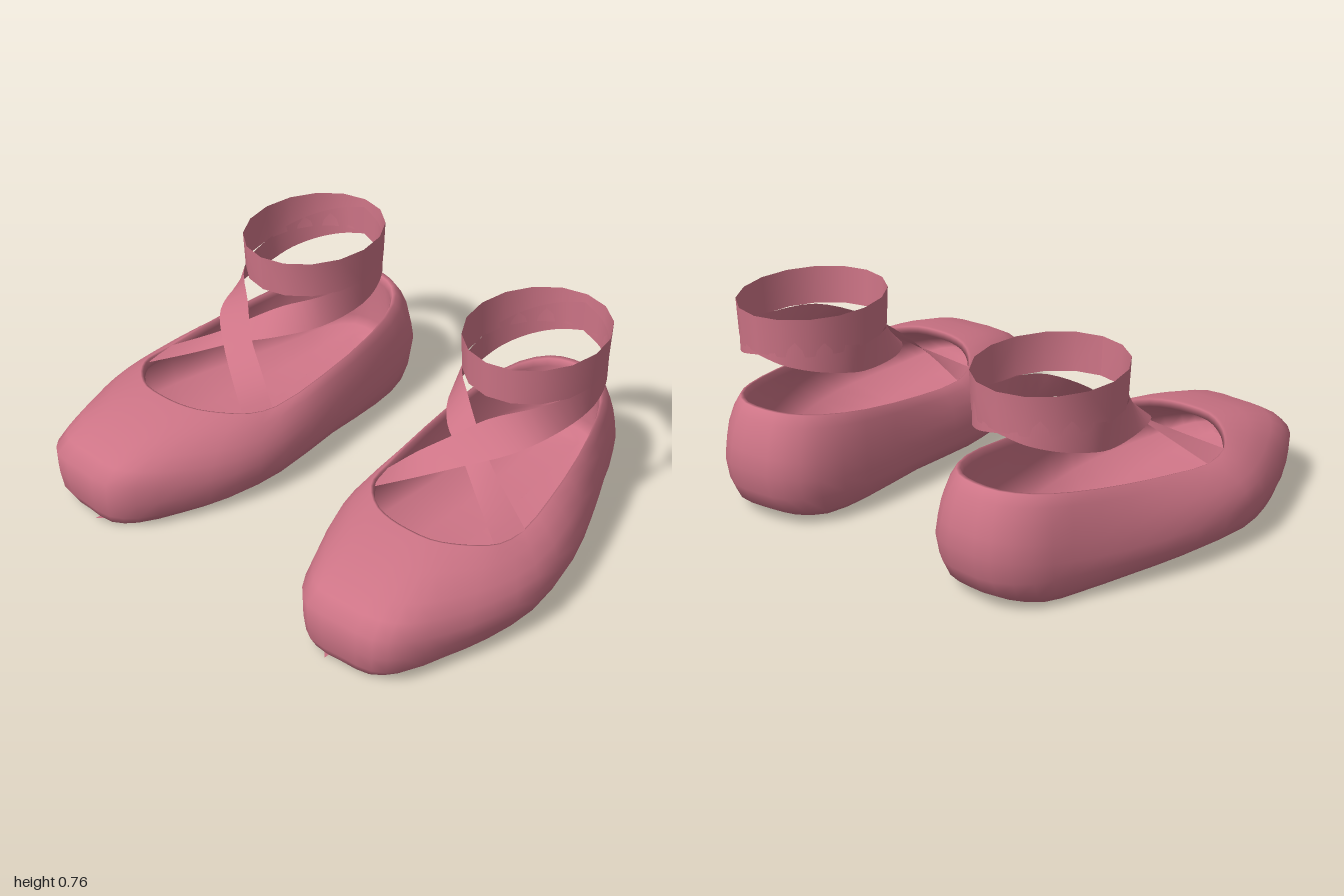
import * as THREE from 'three';

const CX = 0.57; // shoe centre line
const AX = 0.535, AZ = -0.385; // ankle centre

// Piecewise linear lookup in [position, value] pairs
function lookup(table, z) {
  if (z <= table[0][0]) return table[0][1];
  for (let i = 1; i < table.length; i++) {
    const [z0, v0] = table[i - 1], [z1, v1] = table[i];
    if (z <= z1) return v0 + (v1 - v0) * (z - z0) / (z1 - z0);
  }
  return table[table.length - 1][1];
}
const bottomY = z => lookup([[-0.68, 0.016], [-0.6, 0.005], [-0.45, 0.006], [-0.2, 0.028], [0.05, 0.03],
  [0.25, 0.016], [0.42, 0.008], [0.7, 0.011], [0.78, 0.018]], z);
const rimY = z => lookup([[-0.72, 0.43], [-0.5, 0.395], [-0.2, 0.35], [0.1, 0.308], [0.2, 0.315],
  [0.3, 0.335], [0.4, 0.352]], z);
const wideY = z => lookup([[-0.79, 0.21], [-0.5, 0.16], [0.5, 0.16], [0.79, 0.21]], z);
const insoleY = z => 0.05 + 0.18 * z * z;

// Widest outline and opening as [x, z], from the toe round the outer side to the heel and back
const WIDE = [[0.64, 0.787], [0.77, 0.772], [0.85, 0.7], [0.91, 0.55], [0.965, 0.38], [1, 0.17], [0.955, -0.1],
  [0.86, -0.35], [0.765, -0.56], [0.7, -0.7], [0.59, -0.785], [0.47, -0.79], [0.36, -0.765], [0.27, -0.66],
  [0.23, -0.45], [0.208, -0.15], [0.192, 0.17], [0.235, 0.38], [0.32, 0.57], [0.41, 0.72], [0.495, 0.787]];
const RIM = [[0.6, 0.4], [0.69, 0.39], [0.76, 0.35], [0.82, 0.29], [0.86, 0.22], [0.87, 0.1], [0.85, -0.08],
  [0.8, -0.32], [0.73, -0.53], [0.66, -0.65], [0.57, -0.715], [0.47, -0.72], [0.385, -0.69], [0.31, -0.6],
  [0.26, -0.42], [0.25, -0.12], [0.27, 0.12], [0.3, 0.23], [0.36, 0.31], [0.44, 0.37], [0.52, 0.395]];

// Joins rows of points into a smooth surface
function loft(rows, closed) {
  const n = rows[0].length, pos = [], index = [];
  rows.forEach(row => row.forEach(p => pos.push(p.x, p.y, p.z)));
  for (let r = 0; r < rows.length - 1; r++) {
    for (let i = 0; i < (closed ? n : n - 1); i++) {
      const j = (i + 1) % n, a = r * n + i, b = r * n + j;
      index.push(a, b, a + n, b, b + n, a + n);
    }
  }
  const g = new THREE.BufferGeometry();
  g.setAttribute('position', new THREE.Float32BufferAttribute(pos, 3));
  g.setIndex(index);
  g.computeVertexNormals();
  return g;
}

function slipper() {
  const V = (x, y, z) => new THREE.Vector3(x, y, z);
  const scaled = (sx, heel, toe, y) => WIDE.map(([x, z]) => {
    const zz = z * (z > 0 ? toe : heel);
    return V(CX + (x - CX) * sx, y(zz, z), zz);
  });
  // From the widest outline (t = 0) up to the opening (t = 1)
  const upper = (t, h) => WIDE.map(([x, z], i) => {
    const [rx, rz] = RIM[i], y = wideY(z);
    return V(x + (rx - x) * t, y + (rimY(rz) - y) * h, z + (rz - z) * t);
  });
  const lip = (inset, drop) => RIM.map(([x, z]) =>
    V(CX + (x - CX) * (1 - inset), rimY(z) - drop, z * (1 - inset)));
  const rings = [
    scaled(0, 0.84, 0.95, bottomY),
    scaled(0.5, 0.84, 0.95, bottomY),
    scaled(0.82, 0.86, 0.965, bottomY),
    scaled(0.945, 0.94, 0.99, z => bottomY(z) + 0.04),
    scaled(0.985, 0.98, 1, (z, w) => 0.05 + wideY(w) * 0.35),
    upper(0, 0), upper(0.13, 0.3), upper(0.3, 0.56), upper(0.64, 0.83), upper(1, 1),
    // lining and insole
    lip(0.025, 0.003), lip(0.04, 0.03),
    scaled(0.9, 0.9, 0.85, () => 0.19),
    scaled(0.82, 0.86, 0.85, z => insoleY(z) + 0.03),
    scaled(0.4, 0.84, 0.84, insoleY),
    scaled(0, 0.82, 0.84, insoleY),
  ];
  const count = WIDE.length * 2;
  const rows = rings.map(pts => {
    const curve = new THREE.CatmullRomCurve3(pts, true);
    return Array.from({ length: count }, (_, i) => curve.getPoint(i / count));
  });
  return loft(rows, true);
}

// Thin sole patch hugging the underside: rows of [z, left x, right x]
function solePatch() {
  const rows = [[0.63, 0.54, 0.68], [0.58, 0.48, 0.75], [0.45, 0.41, 0.79], [0.2, 0.37, 0.81], [0, 0.4, 0.74],
    [-0.16, 0.44, 0.66], [-0.29, 0.45, 0.63], [-0.41, 0.42, 0.65], [-0.52, 0.43, 0.64], [-0.58, 0.49, 0.58]];
  const edge = k => new THREE.CatmullRomCurve3(rows.map(r => new THREE.Vector3(r[k], 0, r[0]))).getPoints(36);
  const sides = [edge(1), edge(2)];
  sides.flat().forEach(p => { p.y = bottomY(p.z) - 0.005; });
  return loft(sides, false);
}

// Ribbon given by its lower and upper edge over the instep, then wound round to the back of the ankle
function strand(s, lower, upper) {
  const edge = (points, y, rise) => {
    const path = points.map(p => new THREE.Vector3(...p));
    for (let i = 0; i <= 4; i++) {
      const a = i / 4 * Math.PI / 2;
      path.push(new THREE.Vector3(AX + s * 0.243 * Math.cos(a), y + rise * i / 4, AZ - 0.288 * Math.sin(a)));
    }
    return new THREE.CatmullRomCurve3(path).getPoints(36);
  };
  return loft([edge(lower, 0.515, 0.095), edge(upper, 0.62, 0.11)], false);
}
const outerRibbon = () => strand(-1,
  [[0.855, 0.305, 0.235], [0.7, 0.37, 0.14], [0.556, 0.435, 0.05], [0.42, 0.48, -0.03], [0.318, 0.5, -0.18]],
  [[0.872, 0.305, 0.09], [0.66, 0.43, 0.015], [0.56, 0.5, -0.035], [0.45, 0.57, -0.107], [0.345, 0.61, -0.2]]);
const innerRibbon = () => strand(1,
  [[0.312, 0.305, 0.255], [0.45, 0.37, 0.17], [0.583, 0.433, 0.08], [0.705, 0.483, -0.03], [0.763, 0.503, -0.19]],
  [[0.284, 0.305, 0.13], [0.38, 0.4, 0.085], [0.476, 0.48, 0.035], [0.58, 0.56, -0.055], [0.715, 0.61, -0.18]]);

function ankleBand() {
  const g = new THREE.CylinderGeometry(0.252, 0.246, 0.143, 16, 1, true);
  g.scale(1, 1, 1.18);
  g.translate(AX, 0.688, AZ);
  return g;
}

function mirrored(geometry) {
  const g = geometry.clone().scale(-1, 1, 1);
  const a = g.index.array;
  for (let i = 0; i < a.length; i += 3) [a[i], a[i + 1]] = [a[i + 1], a[i]];
  g.computeVertexNormals();
  return g;
}

export function createModel() {
  const satin = new THREE.MeshStandardMaterial({ color: 0xcd7486, side: THREE.DoubleSide });
  satin.name = 'pink satin';
  const leather = new THREE.MeshStandardMaterial({ color: 0x765841, side: THREE.DoubleSide });
  leather.name = 'brown leather';

  const parts = [
    ['slipper', slipper(), satin],
    ['solePatch', solePatch(), leather],
    ['outerRibbon', outerRibbon(), satin],
    ['innerRibbon', innerRibbon(), satin],
    ['ankleBand', ankleBand(), satin],
  ];
  const model = new THREE.Group();
  model.name = 'balletShoes';
  for (const side of ['left', 'right']) {
    const shoe = new THREE.Group();
    shoe.name = side + 'Shoe';
    for (const [name, geometry, material] of parts) {
      const mesh = new THREE.Mesh(side === 'left' ? geometry : mirrored(geometry), material);
      mesh.name = name;
      shoe.add(mesh);
    }
    model.add(shoe);
  }
  return model;
}
